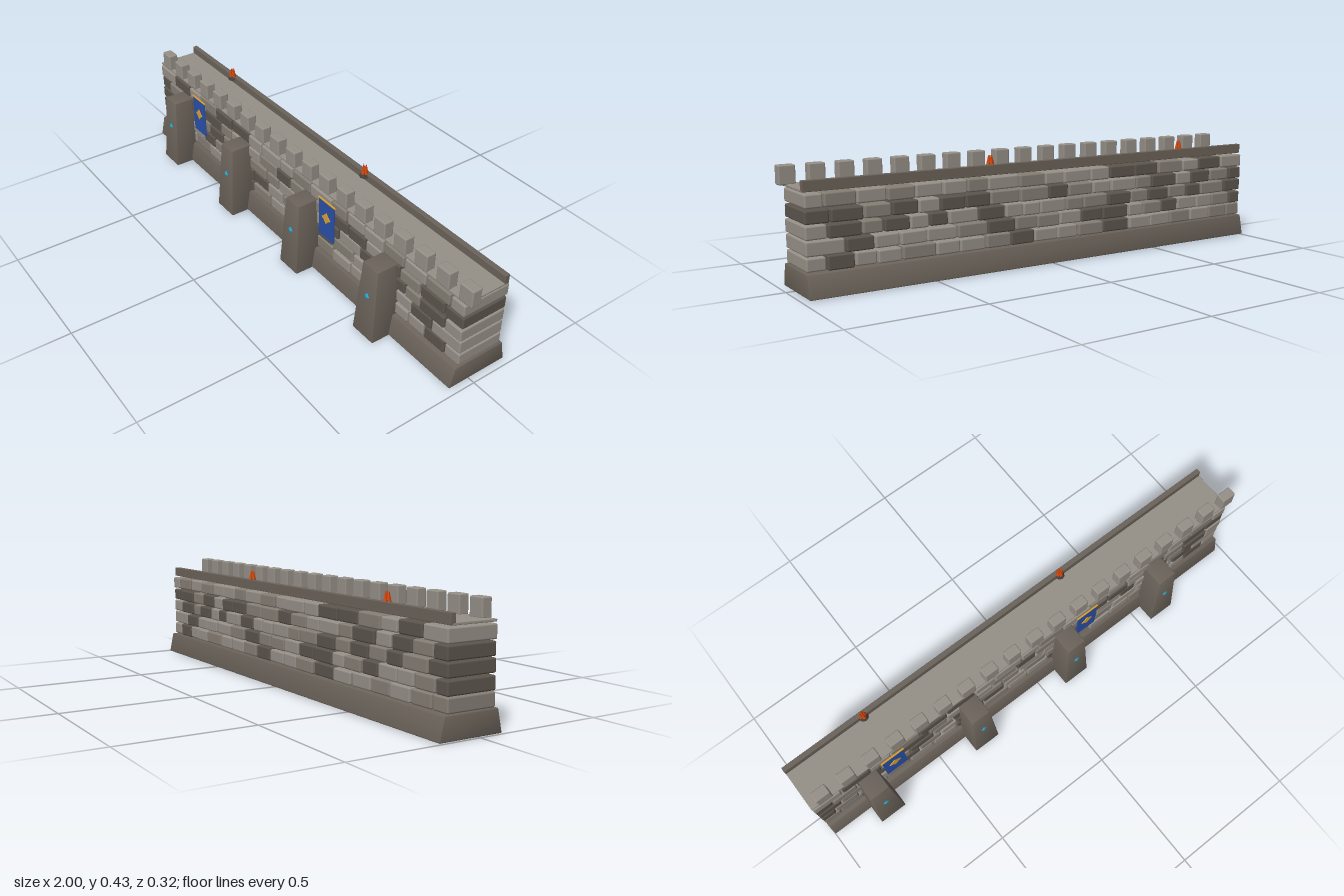
import * as THREE from 'three';
import { RoundedBoxGeometry } from 'three/addons/geometries/RoundedBoxGeometry.js';
import { toCreasedNormals } from 'three/addons/utils/BufferGeometryUtils.js';

const mat = (name, color) => {
  const m = new THREE.MeshStandardMaterial({ color });
  m.name = name;
  return m;
};

export function createModel() {
  const lightStone = mat('light stone', 0x969087);
  const midStone = mat('mid stone', 0x857e74);
  const darkStone = mat('dark stone', 0x5c554d);
  const baseStone = mat('base stone', 0x6b635a);
  const cloth = mat('blue cloth', 0x2a50a8);
  const gold = mat('gold', 0xd9a032);
  const crystal = mat('cyan crystal', 0x22a8cc);
  const flame = mat('flame', 0xd8480c);
  const iron = mat('iron', 0x45403b);

  const wall = new THREE.Group();
  wall.name = 'castleWall';
  let seed = 11;
  const rnd = (a, b) => {
    seed = (seed * 16807) % 2147483647;
    return a + (b - a) * (seed / 2147483647);
  };
  const add = (name, geo, material, x = 0, y = 0, z = 0, parent = wall) => {
    const m = new THREE.Mesh(geo, material);
    m.name = name;
    m.position.set(x, y, z);
    parent.add(m);
    return m;
  };
  // Block given by its ranges, with softened edges
  const block = (name, material, [x0, x1], [y0, y1], [z0, z1], r, parent = wall) =>
    add(name, new RoundedBoxGeometry(x1 - x0, y1 - y0, z1 - z0, 2, r), material,
      (x0 + x1) / 2, (y0 + y1) / 2, (z0 + z1) / 2, parent);

  // Rounded box whose upper half is scaled and shifted towards the back
  const tapered = (w, h, d, topX, zFrontTop, zBackTop) => {
    const g = new RoundedBoxGeometry(w, h, d, 2, 0.004);
    const p = g.attributes.position;
    for (let i = 0; i < p.count; i++) {
      const t = p.getY(i) / h + 0.5;
      const u = p.getZ(i) / d + 0.5;
      p.setX(i, p.getX(i) * (1 + (topX - 1) * t));
      p.setZ(i, p.getZ(i) + t * (u * zFrontTop + (1 - u) * zBackTop));
    }
    return toCreasedNormals(g, 0.6);
  };

  // Flared footing
  add('footing', tapered(1.975, 0.083, 0.251, 1, -0.018, 0.017), baseStone, -0.0125, 0.0445, -0.0355);

  // Five courses of stones running through the full depth of the wall
  const stones = new THREE.Group();
  stones.name = 'stones';
  wall.add(stones);
  const END = 0.972;
  for (let row = 0; row < 5; row++) {
    const y0 = 0.0875 + row * 0.0533;
    let x = -1;
    while (x < END - 0.01) {
      let w = x === -1 && row % 2 ? rnd(0.05, 0.07) : rnd(0.075, 0.135);
      if (END - x - w < 0.06) w = END - x;
      const last = x + w >= END - 0.001;
      const pick = rnd(0, 1);
      let material = pick < 0.36 ? darkStone : pick < 0.65 ? midStone : lightStone;
      if (last) material = row === 3 ? darkStone : lightStone;
      const s = block('stone', material,
        [x + (x === -1 ? 0 : 0.003), x + w - (last ? 0 : 0.003)],
        [y0 + rnd(0, 0.003), y0 + 0.0515 - rnd(0, 0.004)],
        [-0.135 + rnd(-0.002, 0.004), 0.062 + rnd(-0.005, 0.001)], 0.006, stones);
      s.rotation.z = rnd(-0.012, 0.012);
      x += w;
    }
  }

  // Walkway and the low rear parapet
  block('walkway', lightStone, [-1, 0.975], [0.356, 0.365], [-0.12, 0.057], 0.002);
  block('rearParapet', baseStone, [-1, 0.975], [0.357, 0.395], [-0.127, -0.107], 0.002);

  // Merlons along the front edge
  for (let i = 0; i < 19; i++) {
    const x = -0.94 + i * 0.1061;
    block('merlon', lightStone, [x - 0.03, x + 0.03], [0.362, 0.43], [0.022, 0.062], 0.005);
  }

  // Buttresses, each set with a crystal
  for (const x of [-0.775, -0.315, 0.144, 0.604]) {
    add('buttress', tapered(0.112, 0.3, 0.118, 0.72, -0.022, 0), baseStone, x, 0.15, 0.104);
    const gem = add('crystal', toCreasedNormals(new THREE.OctahedronGeometry(1), 0.1), crystal, x, 0.174, 0.147);
    gem.scale.set(0.021, 0.021, 0.009);
  }

  // Banners with a simple four-pointed ornament, hung from gold rods
  const star = new THREE.Shape();
  for (let i = 0; i < 8; i++) {
    const a = (i * Math.PI) / 4;
    const r = i % 2 ? 0.016 : 0.025;
    star[i ? 'lineTo' : 'moveTo'](r * Math.cos(a), r * Math.sin(a));
  }
  const starGeo = new THREE.ExtrudeGeometry(star, { depth: 0.003, bevelEnabled: false });
  for (const x of [-0.662, 0.256]) {
    add('bannerCloth', new THREE.BoxGeometry(0.092, 0.158, 0.004), cloth, x, 0.249, 0.065);
    add('bannerOrnament', starGeo, gold, x, 0.26, 0.067);
    const rod = add('bannerRod', new THREE.CylinderGeometry(0.004, 0.004, 0.1, 8), gold, x, 0.331, 0.065);
    rod.rotation.z = Math.PI / 2;
  }

  // Torches on the rear parapet: flared holder and a cluster of flame spikes
  for (const x of [-0.66, 0.255]) {
    const torch = new THREE.Group();
    torch.name = 'torch';
    torch.position.set(x, 0, -0.107);
    wall.add(torch);
    add('torchHolder', new THREE.CylinderGeometry(0.011, 0.02, 0.02, 8), iron, 0, 0.39, 0, torch);
    const spike = new THREE.ConeGeometry(0.0085, 0.037, 6);
    add('flame', spike, flame, 0, 0.4135, 0, torch);
    for (let i = 0; i < 4; i++) {
      const a = (i * Math.PI) / 2;
      add('flame', spike, flame, 0.0075 * Math.cos(a), 0.4125, 0.0075 * Math.sin(a), torch);
    }
  }
  return wall;
}
